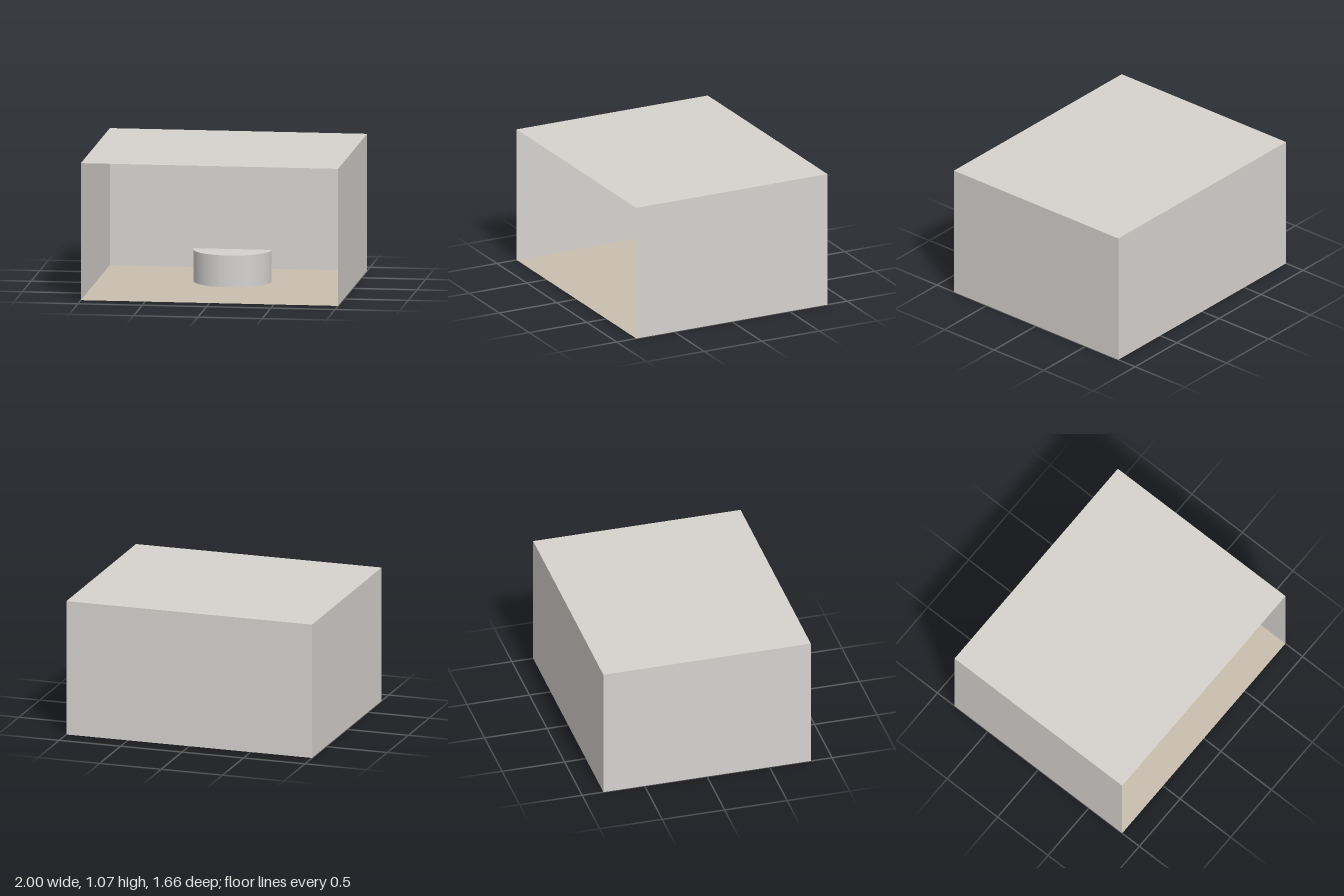
import * as THREE from 'three';

const W = 2, H = 1.07, D = 1.66;

export function createModel() {
  const group = new THREE.Group();
  const material = (name, color, side = THREE.FrontSide) => {
    const m = new THREE.MeshStandardMaterial({ color, side });
    m.name = name;
    return m;
  };
  const wallPaint = material('wallPaint', 0xd6d2ce, THREE.DoubleSide);
  const floorTan = material('floorTan', 0xc9beae, THREE.DoubleSide);
  const counterGrey = material('counterGrey', 0xd4d2d0);

  const add = (name, geometry, mat, x, y, z, rx = 0, ry = 0) => {
    const mesh = new THREE.Mesh(geometry, mat);
    mesh.name = name;
    mesh.position.set(x, y, z);
    mesh.rotation.set(rx, ry, 0);
    group.add(mesh);
  };

  // Room shell of thin sheets, open at the front
  const slab = new THREE.PlaneGeometry(W, D);
  add('floor', slab, floorTan, 0, 0, 0, -Math.PI / 2);
  add('ceiling', slab, wallPaint, 0, H, 0, -Math.PI / 2);
  add('backWall', new THREE.PlaneGeometry(W, H), wallPaint, 0, H / 2, -D / 2, 0, Math.PI);
  const sideWall = new THREE.PlaneGeometry(D, H);
  add('leftWall', sideWall, wallPaint, W / 2, H / 2, 0, 0, Math.PI / 2);
  add('rightWall', sideWall, wallPaint, -W / 2, H / 2, 0, 0, -Math.PI / 2);

  // Half-round block, curved towards the front and flat at the back
  const halfRound = (radius, height) => {
    const shape = new THREE.Shape();
    shape.absarc(0, 0, radius, Math.PI, Math.PI * 2, false);
    shape.closePath();
    const g = new THREE.ExtrudeGeometry(shape, { depth: height, bevelEnabled: false, curveSegments: 32 });
    return g.rotateX(-Math.PI / 2);
  };

  // Counter with a thin overhanging top
  add('counterBody', halfRound(0.302, 0.24), counterGrey, 0.04, 0.001, -0.215);
  add('counterTop', halfRound(0.307, 0.009), counterGrey, 0.04, 0.241, -0.215);

  return group;
}
